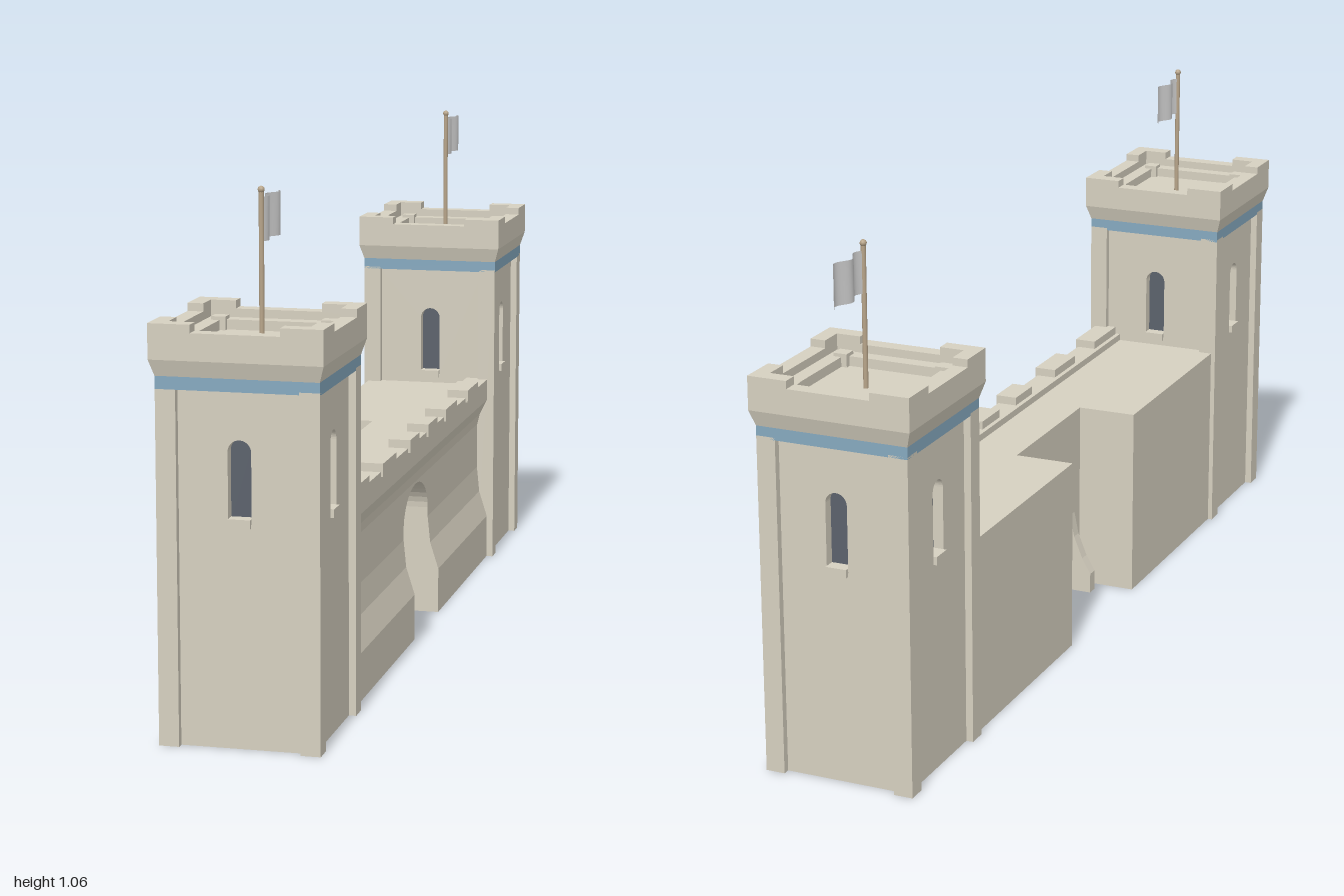
import * as THREE from 'three';

const mat = (color, extra = {}) => {
  const m = new THREE.MeshStandardMaterial({ color, ...extra });
  return m;
};
const stone = mat(0xd6d0c0);
const blue = mat(0x86a9bf);
const dark = mat(0x5c626c);
const wood = mat(0xb8a58a);
const cloth = mat(0xcccccc, { side: THREE.DoubleSide });

function add(parent, name, geometry, material, x = 0, y = 0, z = 0) {
  const mesh = new THREE.Mesh(geometry, material);
  mesh.name = name;
  mesh.position.set(x, y, z);
  parent.add(mesh);
  return mesh;
}

// Box given by its limits
function block(parent, name, x0, x1, y0, y1, z0, z1, material = stone) {
  return add(parent, name, new THREE.BoxGeometry(x1 - x0, y1 - y0, z1 - z0), material,
    (x0 + x1) / 2, (y0 + y1) / 2, (z0 + z1) / 2);
}

// Closed solid from counter-clockwise (x, y) sections placed along z
function loft(sections, zs) {
  const pos = [];
  const put = (s, i) => pos.push(sections[s][i][0], sections[s][i][1], zs[s]);
  const n = sections[0].length;
  for (let s = 0; s < zs.length - 1; s++) {
    for (let i = 0; i < n; i++) {
      const j = (i + 1) % n;
      put(s, i); put(s, j); put(s + 1, j);
      put(s, i); put(s + 1, j); put(s + 1, i);
    }
  }
  for (const s of [0, zs.length - 1]) {
    const pts = sections[s].map(([x, y]) => new THREE.Vector2(x, y));
    for (const f of THREE.ShapeUtils.triangulateShape(pts, [])) {
      for (const i of s === 0 ? [f[2], f[1], f[0]] : f) put(s, i);
    }
  }
  const g = new THREE.BufferGeometry();
  g.setAttribute('position', new THREE.Float32BufferAttribute(pos, 3));
  g.computeVertexNormals();
  return g;
}

// Square frame with a square hole, lying flat from y0 to y1
function frame(parent, name, outer, inner, y0, y1) {
  const square = (r) => [[-r, -r], [r, -r], [r, r], [-r, r]].map(([x, y]) => new THREE.Vector2(x, y));
  const shape = new THREE.Shape(square(outer));
  shape.holes.push(new THREE.Path(square(inner)));
  const g = new THREE.ExtrudeGeometry(shape, { depth: y1 - y0, bevelEnabled: false });
  g.rotateX(-Math.PI / 2);
  add(parent, name, g, stone, 0, y0, 0);
}

// Arched window outline
function archPath(path, r, y0, spring) {
  path.moveTo(-r, y0);
  path.lineTo(r, y0);
  path.lineTo(r, spring);
  path.absarc(0, spring, r, 0, Math.PI, false);
  path.lineTo(-r, y0);
  return path;
}

function createTower() {
  const tower = new THREE.Group();
  block(tower, 'towerCore', -0.12, 0.12, 0, 0.7, -0.12, 0.12);

  // Recessed panels with arched windows on all four sides
  const panel = new THREE.Shape([[-0.13, 0], [0.13, 0], [0.13, 0.7], [-0.13, 0.7]]
    .map(([x, y]) => new THREE.Vector2(x, y)));
  panel.holes.push(archPath(new THREE.Path(), 0.023, 0.44, 0.578));
  const panelGeo = new THREE.ExtrudeGeometry(panel, { depth: 0.025, bevelEnabled: false, curveSegments: 10 });
  for (let i = 0; i < 4; i++) {
    const side = new THREE.Group();
    side.name = 'towerSide';
    side.rotation.y = i * Math.PI / 2;
    add(side, 'panel', panelGeo, stone, 0, 0, 0.12);
    block(side, 'windowPane', -0.025, 0.025, 0.435, 0.61, 0.119, 0.123, dark);
    block(side, 'windowSill', -0.022, 0.022, 0.433, 0.45, 0.125, 0.152);
    // Corner pilaster
    block(side, 'cornerPilaster', 0.12, 0.16, 0, 0.7, 0.12, 0.16);
    tower.add(side);
  }

  // Blue band and flared cornice
  block(tower, 'band', -0.16, 0.16, 0.695, 0.72, -0.16, 0.16, blue);
  const flare = new THREE.CylinderGeometry(0.17 * Math.SQRT2, 0.16 * Math.SQRT2, 0.032, 4);
  flare.rotateY(Math.PI / 4);
  const flat = flare.toNonIndexed();
  flat.computeVertexNormals();
  add(tower, 'cornice', flat, stone, 0, 0.736, 0);

  // Parapet, inner ledge and roof floor
  frame(tower, 'parapet', 0.17, 0.138, 0.752, 0.805);
  frame(tower, 'innerLedge', 0.138, 0.108, 0.752, 0.788);
  block(tower, 'roofFloor', -0.11, 0.11, 0.75, 0.768, -0.11, 0.11);

  // L-shaped corner merlons and the corner blocks of the ledge
  const ell = new THREE.Shape([[0.17, 0.17], [0.087, 0.17], [0.087, 0.138], [0.138, 0.138],
    [0.138, 0.087], [0.17, 0.087]].map(([x, y]) => new THREE.Vector2(x, y)));
  const ellGeo = new THREE.ExtrudeGeometry(ell, { depth: 0.018, bevelEnabled: false });
  ellGeo.rotateX(-Math.PI / 2);
  for (let i = 0; i < 4; i++) {
    const corner = new THREE.Group();
    corner.name = 'towerCorner';
    corner.rotation.y = i * Math.PI / 2;
    add(corner, 'cornerMerlon', ellGeo, stone, 0, 0.803, 0);
    block(corner, 'ledgeCorner', 0.096, 0.125, 0.76, 0.795, 0.096, 0.125);
    tower.add(corner);
  }

  // Flagpole, finial and waving flag
  add(tower, 'flagpole', new THREE.CylinderGeometry(0.005, 0.005, 0.29, 10), wood, 0.004, 0.91, -0.003);
  add(tower, 'finial', new THREE.SphereGeometry(0.007, 10, 8), wood, 0.004, 1.057, -0.003);
  const flag = new THREE.PlaneGeometry(0.12, 0.085, 20, 1);
  flag.rotateY(Math.PI / 2);
  const p = flag.attributes.position;
  for (let i = 0; i < p.count; i++) {
    const t = 0.5 - p.getZ(i) / 0.12;
    p.setX(i, 0.009 * Math.sin(t * Math.PI * 3));
  }
  flag.computeVertexNormals();
  add(tower, 'flag', flag, cloth, 0.004, 1.0, -0.066);
  return tower;
}

function createWall() {
  const wall = new THREE.Group();
  wall.name = 'curtainWall';
  // Battered front, overhanging parapet and walkway
  const base = [[0.145, 0], [0.145, 0.1], [0.126, 0.16], [0.12, 0.22]];
  const top = [[0.12, 0.325], [0.126, 0.35], [0.143, 0.385], [0.143, 0.435], [0.09, 0.435], [0.09, 0.42]];
  const straight = (x) => [...base, ...top, [x, 0.42], [x, 0]];
  const jamb = [...base, ...top, [-0.02, 0.42], [-0.02, 0.18], [-0.03, 0.13], [-0.05, 0.08],
    [-0.07, 0.045], [-0.07, 0]];
  const spans = [
    ['wallBlock', straight(-0.15), 0.175, 0.69],
    ['gateReturn', straight(-0.02), 0.145, 0.175],
    ['gateJamb', jamb, 0.12, 0.145],
  ];
  for (const [name, section, a, b] of spans) {
    add(wall, name, loft([section, section], [a, b]), stone);
    add(wall, name, loft([section, section], [-b, -a]), stone);
  }

  // Wall above the gate with its arched underside
  const sections = [], zs = [];
  for (let i = 0; i <= 20; i++) {
    const a = Math.PI * (1 - i / 20);
    const y = 0.24 + 0.08 * Math.sin(a);
    zs.push(0.12 * Math.cos(a));
    sections.push([[0.12, y], ...top, [-0.02, 0.42], [-0.02, y]]);
  }
  add(wall, 'gateArch', loft(sections, zs), stone);

  // Merlons along the parapet
  const merlons = [[-0.54, -0.42], [-0.3, -0.18], [-0.09, 0], [0.09, 0.18], [0.31, 0.43], [0.55, 0.68]];
  for (const [a, b] of merlons) block(wall, 'merlon', 0.1, 0.148, 0.425, 0.453, a, b);
  return wall;
}

export function createModel() {
  const model = new THREE.Group();
  model.name = 'castleWall';
  for (const [name, z] of [['frontTower', 0.83], ['backTower', -0.83]]) {
    const tower = createTower();
    tower.name = name;
    tower.position.z = z;
    model.add(tower);
  }
  model.add(createWall());
  return model;
}
